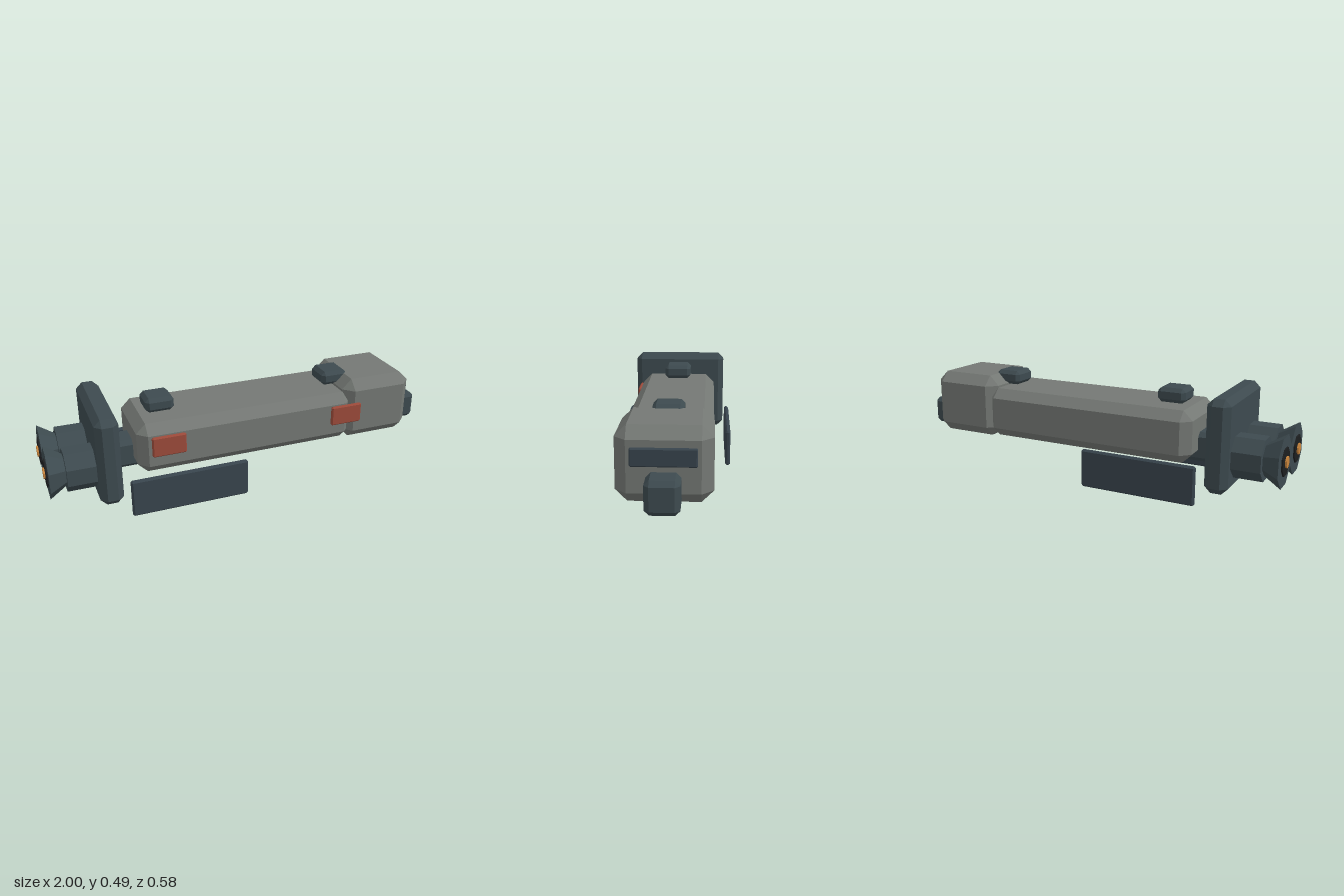
import * as THREE from 'three';
import { ConvexGeometry } from 'three/addons/geometries/ConvexGeometry.js';

const material = (name, color) => {
  const m = new THREE.MeshStandardMaterial({ color });
  m.name = name;
  return m;
};

// Box given by its limits on each axis, with all edges cut at 45 degrees
function chamferBox([x0, x1], [y0, y1], [z0, z1], c) {
  const points = [];
  for (const sx of [0, 1]) for (const sy of [0, 1]) for (const sz of [0, 1]) {
    const corner = [sx ? x1 : x0, sy ? y1 : y0, sz ? z1 : z0];
    const inward = [sx ? -c : c, sy ? -c : c, sz ? -c : c];
    for (let full = 0; full < 3; full++) {
      points.push(new THREE.Vector3(...corner.map((v, i) => (i === full ? v : v + inward[i]))));
    }
  }
  return new ConvexGeometry(points);
}

// Eight-sided drum along x, with a flat side on top; radii measured to the flats
function drum(xBack, xFront, rBack, rFront) {
  const k = 1 / Math.cos(Math.PI / 8);
  const g = new THREE.CylinderGeometry(rBack * k, rFront * k, xFront - xBack, 8).toNonIndexed();
  g.rotateY(Math.PI / 8);
  g.rotateZ(Math.PI / 2);
  g.translate((xBack + xFront) / 2, 0, 0);
  g.computeVertexNormals();
  return g;
}

export function createModel() {
  const group = new THREE.Group();
  group.name = 'spacecraft';

  const hullGrey = material('hull grey', 0x747874);
  const slate = material('slate', 0x3d4a4f);
  const panelSlate = material('panel slate', 0x38444d);
  const red = material('rust red', 0x9c4a3a);
  const black = material('nozzle black', 0x1c1e20);
  const glow = material('engine glow', 0xc8843c);

  const add = (name, geometry, mat, parent = group) => {
    const mesh = new THREE.Mesh(geometry, mat);
    mesh.name = name;
    parent.add(mesh);
    return mesh;
  };

  // Main body, cabin and the keel that runs under both
  add('hull', chamferBox([-0.57, 0.545], [0.15, 0.4], [-0.2, 0.2], 0.046), hullGrey);
  add('cabin', chamferBox([0.5, 0.88], [0.14, 0.46], [-0.2, 0.2], 0.05), hullGrey);
  add('keel', chamferBox([-0.7, 1], [0.138, 0.28], [-0.071, 0.071], 0.021), slate);
  add('window', chamferBox([0.87, 0.895], [0.304, 0.38], [-0.135, 0.135], 0.005), panelSlate);

  // Engine bulkhead
  add('bulkhead', chamferBox([-0.77, -0.66], [0.056, 0.49], [-0.256, 0.256], 0.03), slate);

  // Roof pods and side panels, one pair at each end of the hull
  for (const x of [-0.425, 0.5]) {
    add('roofPod', chamferBox([x - 0.07, x + 0.07], [0.405, 0.476], [-0.07, 0.07], 0.018), slate);
  }
  for (const x of [-0.427, 0.497]) {
    add('sidePanel', chamferBox([x - 0.082, x + 0.082], [0.25, 0.35], [0.199, 0.219], 0.006), red);
  }

  // Fins and engines, mirrored
  for (const s of [-1, 1]) {
    const z = s * 0.276;
    add(s > 0 ? 'leftFin' : 'rightFin',
      chamferBox([-0.635, -0.063], [0, 0.185], [z - 0.0125, z + 0.0125], 0.008), panelSlate);

    const engine = new THREE.Group();
    engine.name = s > 0 ? 'leftEngine' : 'rightEngine';
    engine.position.set(0, 0.215, s * 0.112);
    add('engineBody', drum(-0.905, -0.75, 0.096, 0.096), slate, engine);
    add('nozzle', drum(-0.985, -0.89, 0.115, 0.06), slate, engine);
    add('nozzleThroat', drum(-0.992, -0.98, 0.062, 0.062), black, engine);
    add('exhaust', drum(-1, -0.985, 0.025, 0.025), glow, engine);
    group.add(engine);
  }

  return group;
}
